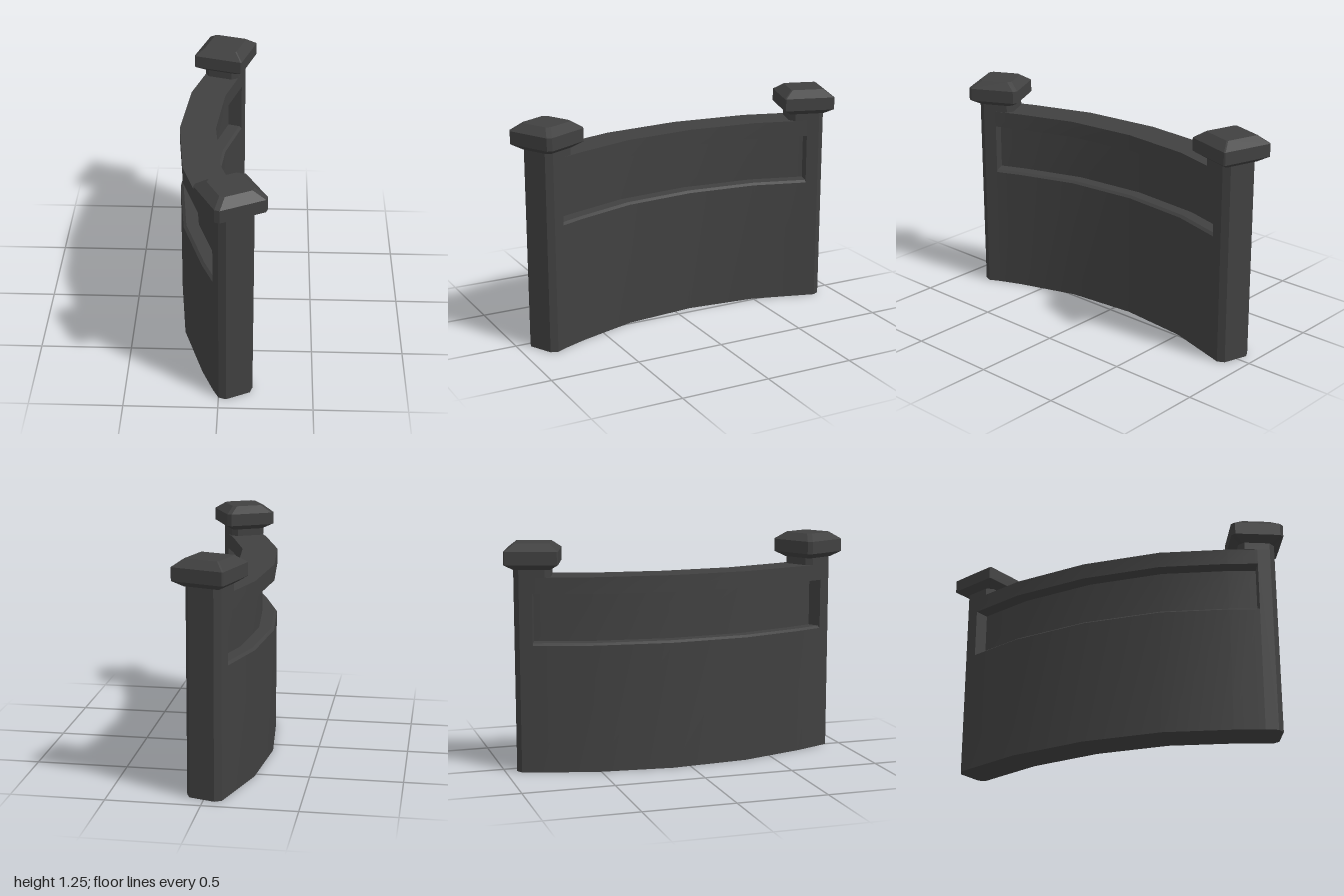
import * as THREE from 'three';
import { ConvexGeometry } from 'three/addons/geometries/ConvexGeometry.js';
import { toCreasedNormals } from 'three/addons/utils/BufferGeometryUtils.js';

const material = new THREE.MeshStandardMaterial({ color: 0x404040 });

// Centre line of the wall in plan [x, z], from rear post to front post
const PATH = [[-0.02, -0.82], [-0.11, -0.515], [-0.15, -0.1], [-0.11, 0.32], [0, 0.665], [0.058, 0.807]];
const REAR_YAW = -0.295, FRONT_YAW = 0.467;

// Heading of the wall at each path point, averaged at the bends
const HEADINGS = PATH.map((p, i) => {
  if (i === 0) return REAR_YAW;
  if (i === PATH.length - 1) return FRONT_YAW;
  const a = PATH[i - 1], b = PATH[i + 1];
  const before = Math.atan2(p[0] - a[0], p[1] - a[1]);
  const after = Math.atan2(b[0] - p[0], b[1] - p[1]);
  return (before + after) / 2;
});

function add(parent, name, geometry) {
  const mesh = new THREE.Mesh(geometry, material);
  mesh.name = name;
  parent.add(mesh);
}

// Course of wall following the path; half-width may taper from bottom to top
function course(y0, half0, y1, half1) {
  const n = PATH.length - 1;
  const geometry = new THREE.BoxGeometry(2, 1, 1, 1, 1, n);
  const pos = geometry.attributes.position;
  for (let k = 0; k < pos.count; k++) {
    const i = Math.round((pos.getZ(k) + 0.5) * n);
    const top = pos.getY(k) > 0;
    const offset = Math.sign(pos.getX(k)) * (top ? half1 : half0);
    pos.setXYZ(k,
      PATH[i][0] + Math.cos(HEADINGS[i]) * offset,
      top ? y1 : y0,
      PATH[i][1] - Math.sin(HEADINGS[i]) * offset);
  }
  return toCreasedNormals(geometry, 0.4);
}

// Convex solid from square rings [y, half-width] with cut corners
function squareSolid(rings, cut) {
  const points = [];
  for (const [y, h] of rings)
    for (const sx of [-1, 1])
      for (const sz of [-1, 1])
        points.push(new THREE.Vector3(sx * h, y, sz * (h - cut)), new THREE.Vector3(sx * (h - cut), y, sz * h));
  return new ConvexGeometry(points);
}

// Outer half of a post, chamfered at its end corners
function endBlock(outward, height) {
  const points = [];
  for (const y of [0, height])
    for (const sx of [-1, 1])
      for (const [x, z] of [[0.1, 0], [0.1, 0.07], [0.07, 0.1]])
        points.push(new THREE.Vector3(sx * x, y, outward * z));
  return new ConvexGeometry(points);
}

function post(name, [x, z], yaw, outward, cut) {
  const group = new THREE.Group();
  group.name = name;
  group.position.set(x, 0, z);
  group.rotation.y = yaw;
  add(group, 'postShaft', endBlock(outward, 1.07));
  add(group, 'postNeck', squareSolid([[1.07, 0.1], [1.11, 0.1]], 0.03));
  add(group, 'postCap', squareSolid([[1.11, 0.1], [1.14, 0.145], [1.21, 0.145], [1.25, 0.095]], cut));
  return group;
}

export function createModel() {
  const model = new THREE.Group();
  model.name = 'curvedWall';

  // Wall: solid base, bevelled ledge, thin panel recessed on both faces, top rail
  add(model, 'wallBase', course(0, 0.1, 0.7, 0.1));
  add(model, 'ledge', course(0.7, 0.1, 0.712, 0.085));
  add(model, 'recessedPanel', course(0.71, 0.017, 0.98, 0.017));
  add(model, 'topRail', course(0.98, 0.1, 1.07, 0.1));

  // Capped posts closing both ends
  model.add(post('rearPost', PATH[0], REAR_YAW, -1, 0.006));
  model.add(post('frontPost', PATH[PATH.length - 1], FRONT_YAW, 1, 0.02));
  return model;
}
